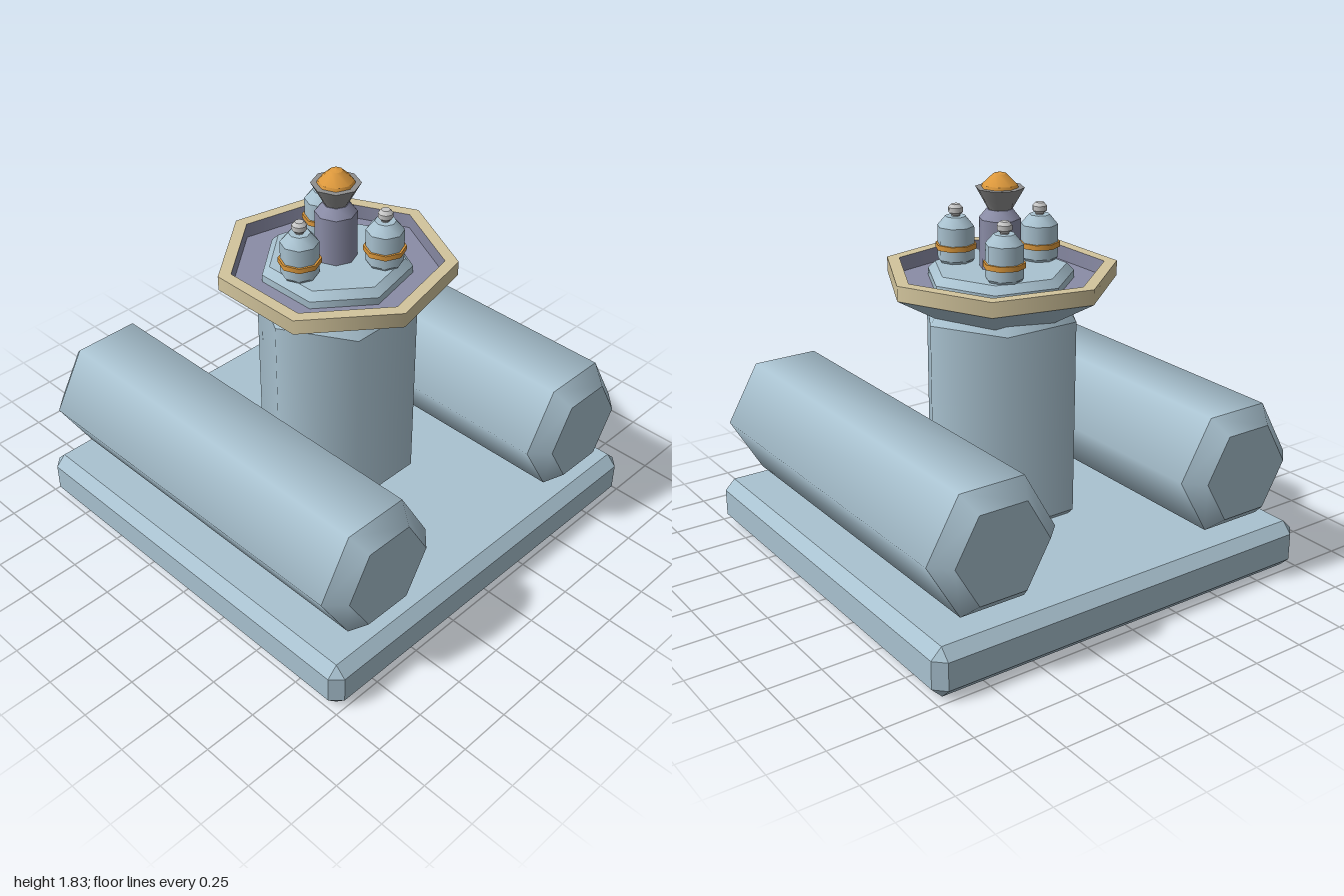
import * as THREE from 'three';
import { mergeGeometries } from 'three/addons/utils/BufferGeometryUtils.js';
import { ConvexGeometry } from 'three/addons/geometries/ConvexGeometry.js';

const paint = (name, color) => {
  const m = new THREE.MeshStandardMaterial({ color });
  m.name = name;
  return m;
};

// Turned shape, smooth around its axis but creased between profile points (bottom to top)
function turned(profile, sides) {
  const bands = [];
  for (let i = 0; i < profile.length - 1; i++) {
    const pair = [profile[i], profile[i + 1]].map(([r, y]) => new THREE.Vector2(r, y));
    bands.push(new THREE.LatheGeometry(pair, sides, Math.PI / 2));
  }
  return mergeGeometries(bands);
}

// Box with a single chamfer on every edge
function chamferedBox(w, h, d, c) {
  const pts = [];
  for (const sx of [-1, 1]) for (const sy of [-1, 1]) for (const sz of [-1, 1]) {
    for (let axis = 0; axis < 3; axis++) {
      const inset = [c, c, c];
      inset[axis] = 0;
      pts.push(new THREE.Vector3(sx * (w / 2 - inset[0]), sy * (h / 2 - inset[1]), sz * (d / 2 - inset[2])));
    }
  }
  return new ConvexGeometry(pts);
}

export function createModel() {
  const blue = paint('paleBlue', 0xa9c2d0);
  const purple = paint('greyPurple', 0x8a8ca6);
  const tan = paint('sand', 0xd2c49c);
  const orange = paint('amber', 0xdc983c);
  const grey = paint('steelGrey', 0x8f8f8f);
  const silver = paint('silver', 0xc6c6c6);

  const model = new THREE.Group();
  const add = (name, geometry, material, parent = model) => {
    const mesh = new THREE.Mesh(geometry, material);
    mesh.name = name;
    parent.add(mesh);
    return mesh;
  };

  // Base slab
  add('base', chamferedBox(2, 0.23, 2, 0.05), blue).position.y = 0.115;

  // Two hexagonal tanks lying front to back
  const tank = turned([[0, -0.97], [0.232, -0.97], [0.315, -0.89], [0.315, 0.89], [0.232, 0.97], [0, 0.97]], 6);
  tank.rotateX(Math.PI / 2);
  for (const side of [-1, 1]) {
    add(side > 0 ? 'leftTank' : 'rightTank', tank, blue).position.set(side * 0.663, 0.56, 0);
  }

  // Central hexagonal column
  add('column', turned([[0, 0.225], [0.35, 0.225], [0.378, 0.255], [0.378, 1.185], [0.35, 1.225], [0, 1.225]], 6), blue);

  // Seven-sided dish: underside, rim, recess and raised platform
  add('dishUnderside', turned([[0, 1.195], [0.317, 1.195], [0.545, 1.33]], 7), blue);
  add('dishRim', turned([[0.545, 1.33], [0.545, 1.4], [0.485, 1.4]], 7), tan);
  add('dishRecess', turned([[0.485, 1.4], [0.485, 1.33], [0.3, 1.33]], 7), purple);
  add('platform', turned([[0.345, 1.25], [0.345, 1.365], [0.31, 1.4], [0, 1.4]], 7), blue);

  // Centre post with funnel and domed light
  add('post', turned([[0.095, 1.39], [0.095, 1.625], [0.06, 1.668], [0, 1.668]], 8), purple);
  add('funnel', turned([[0, 1.66], [0.052, 1.66], [0.112, 1.765], [0, 1.765]], 8), grey);
  add('dome', turned([[0.085, 1.765], [0.08, 1.778], [0.03, 1.826], [0, 1.834]], 8), orange);

  // Three bottles around the post
  const body = turned([[0, 0], [0.078, 0], [0.086, 0.012], [0.086, 0.165], [0.048, 0.21], [0, 0.21]], 8);
  const band = turned([[0.08, 0.06], [0.096, 0.06], [0.096, 0.084], [0.08, 0.084]], 8);
  const cap = turned([[0.02, 0.205], [0.02, 0.215], [0.034, 0.228], [0.034, 0.25], [0.02, 0.265], [0, 0.265]], 8);
  for (let i = 0; i < 3; i++) {
    const a = Math.PI + (i * Math.PI * 2) / 3;
    const bottle = new THREE.Group();
    bottle.name = 'bottle' + (i + 1);
    bottle.position.set(0.222 * Math.cos(a), 1.4, 0.222 * Math.sin(a));
    add('bottleBody', body, blue, bottle);
    add('bottleBand', band, orange, bottle);
    add('bottleCap', cap, silver, bottle);
    model.add(bottle);
  }
  return model;
}
